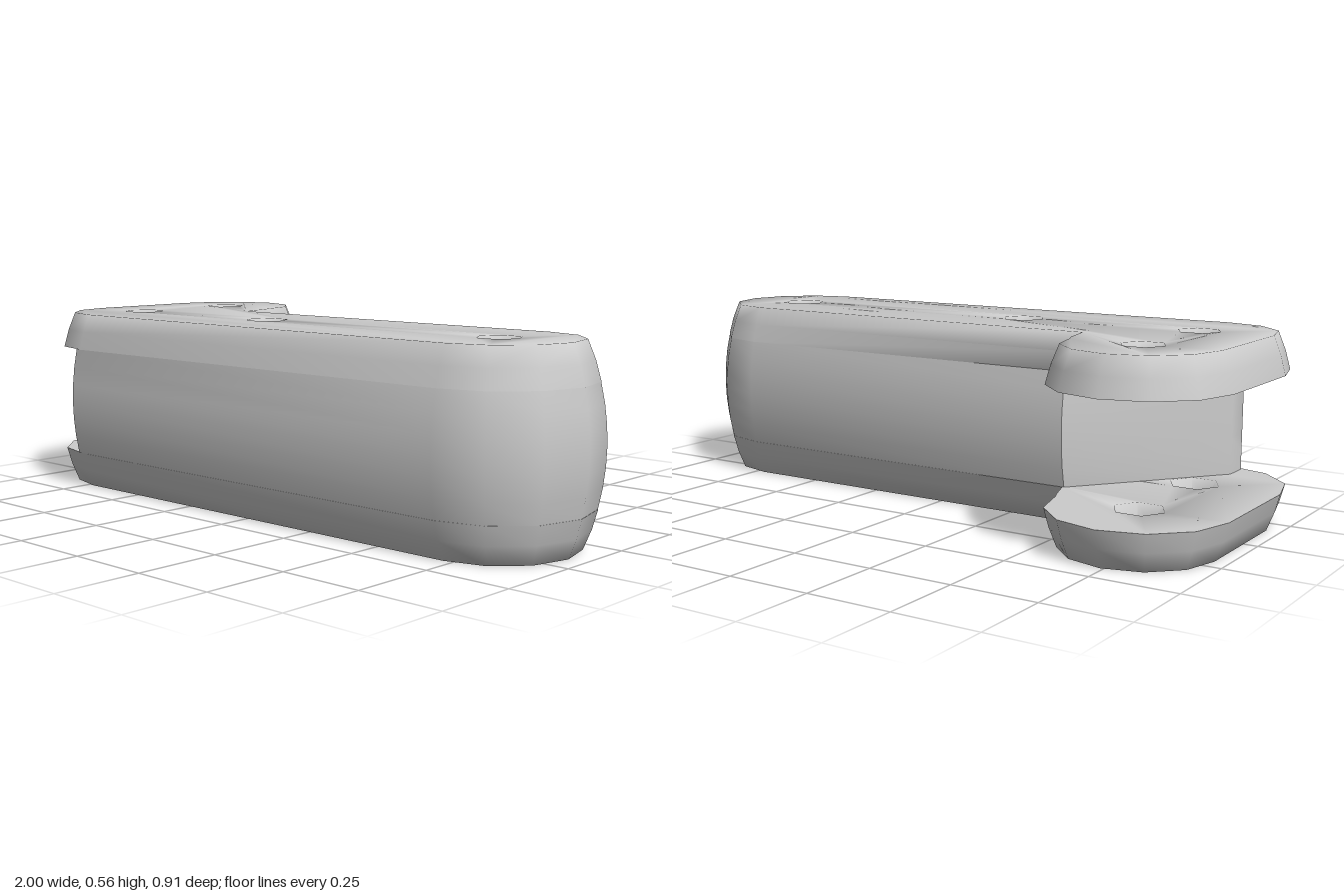
import * as THREE from 'three';
import { toCreasedNormals } from 'three/addons/utils/BufferGeometryUtils.js';

const HEIGHT = 0.555;
const PLATE = 0.11;
const MID_Z = 0.17;

// Points (x, z) along an arc, angles in degrees
function arc(cx, cz, r, from, to, step = 30) {
  const pts = [];
  for (let a = from; a <= to; a += step) {
    const t = THREE.MathUtils.degToRad(a);
    pts.push(new THREE.Vector2(cx + r * Math.cos(t), cz + r * Math.sin(t)));
  }
  return pts;
}

// L-shaped plate outline; r is the distance from its centre line
function plateOutline(r) {
  return [
    ...arc(0.72, MID_Z, r, -90, 90),
    ...arc(-0.73, MID_Z, r, 90, 180),
    ...arc(-0.74, -0.2, r - 0.008, 180, 360),
    new THREE.Vector2(-0.735 + r, -0.17),
    new THREE.Vector2(-0.71 + r, MID_Z - r),
  ];
}

// Bar outline: round right end, slanted left end
function barOutline(r) {
  return [
    ...arc(0.72, MID_Z, r, -90, 90),
    new THREE.Vector2(-0.75, MID_Z + r),
    new THREE.Vector2(-0.78, 0.41),
    new THREE.Vector2(-0.78, 0.33),
    new THREE.Vector2(-0.45, MID_Z - r),
  ];
}

// Adds stacked rings to the buffers and joins them; returns each ring's first index
function addRings(pos, idx, rings) {
  const starts = rings.map(({ pts, y }) => {
    const start = pos.length / 3;
    pts.forEach((p) => pos.push(p.x, y, p.y));
    return start;
  });
  const n = rings[0].pts.length;
  for (let k = 0; k + 1 < rings.length; k++) {
    for (let i = 0; i < n; i++) {
      const j = (i + 1) % n;
      const [a, b] = [starts[k], starts[k + 1]];
      idx.push(a + i, b + i, b + j, a + i, b + j, a + j);
    }
  }
  return starts;
}

function toGeometry(pos, idx) {
  const geo = new THREE.BufferGeometry();
  geo.setAttribute('position', new THREE.Float32BufferAttribute(pos, 3));
  geo.setIndex(idx);
  geo.computeVertexNormals();
  return geo;
}

// Plate with sloping rim and flared six-sided holes; flipped for the upper one
function plateGeometry(flip) {
  const pos = [], idx = [];
  const rims = [[0.228, 0], [0.25, 0.055], [0.265, PLATE]]
    .map(([r, y]) => ({ pts: plateOutline(r), y }));
  addRings(pos, idx, rims);

  const centres = [[-0.74, -0.2], [-0.74, 0.16], [-0.16, 0.16], [0.72, 0.17]];
  const holes = centres.map(([x, z]) =>
    [[0.065, 0], [0.045, 0.05], [0.075, PLATE]].map(([r, y]) => ({ pts: arc(x, z, r, 0, 300, 60).reverse(), y })));
  holes.forEach((rings) => addRings(pos, idx, rings));

  // Outer and inner faces
  [0, 2].forEach((level) => {
    const contour = rims[level].pts;
    const inner = holes.map((h) => h[level].pts);
    const y = rims[level].y;
    const flat = [contour, ...inner].flat();
    const faces = THREE.ShapeUtils.triangulateShape(contour, inner);
    const base = pos.length / 3;
    flat.forEach((p) => pos.push(p.x, y, p.y));
    faces.forEach(([a, b, c]) => {
      if (level === 0) idx.push(base + a, base + b, base + c);
      else idx.push(base + a, base + c, base + b);
    });
  });

  if (flip) {
    for (let i = 1; i < pos.length; i += 3) pos[i] = HEIGHT - pos[i];
    for (let i = 0; i < idx.length; i += 3) [idx[i + 1], idx[i + 2]] = [idx[i + 2], idx[i + 1]];
  }
  return toCreasedNormals(toGeometry(pos, idx), 1.25);
}

// Bulging hollow wall between the plates
function barGeometry() {
  const pos = [], idx = [];
  const levels = 6;
  const rings = [];
  for (let k = 0; k <= levels; k++) {
    const t = (k / levels) * 2 - 1;
    rings.push({
      pts: barOutline(0.284 - 0.02 * t * t),
      y: PLATE + (HEIGHT - 2 * PLATE) * (k / levels),
    });
  }
  addRings(pos, idx, rings);
  return toCreasedNormals(toGeometry(pos, idx), 0.7);
}

export function createModel() {
  const model = new THREE.Group();
  model.name = 'bracketLink';
  const material = new THREE.MeshStandardMaterial({ color: 0xcccccc, side: THREE.DoubleSide });
  const add = (name, geometry) => {
    const mesh = new THREE.Mesh(geometry, material);
    mesh.name = name;
    model.add(mesh);
  };
  add('lowerPlate', plateGeometry(false));
  add('upperPlate', plateGeometry(true));
  add('middleBar', barGeometry());
  return model;
}
